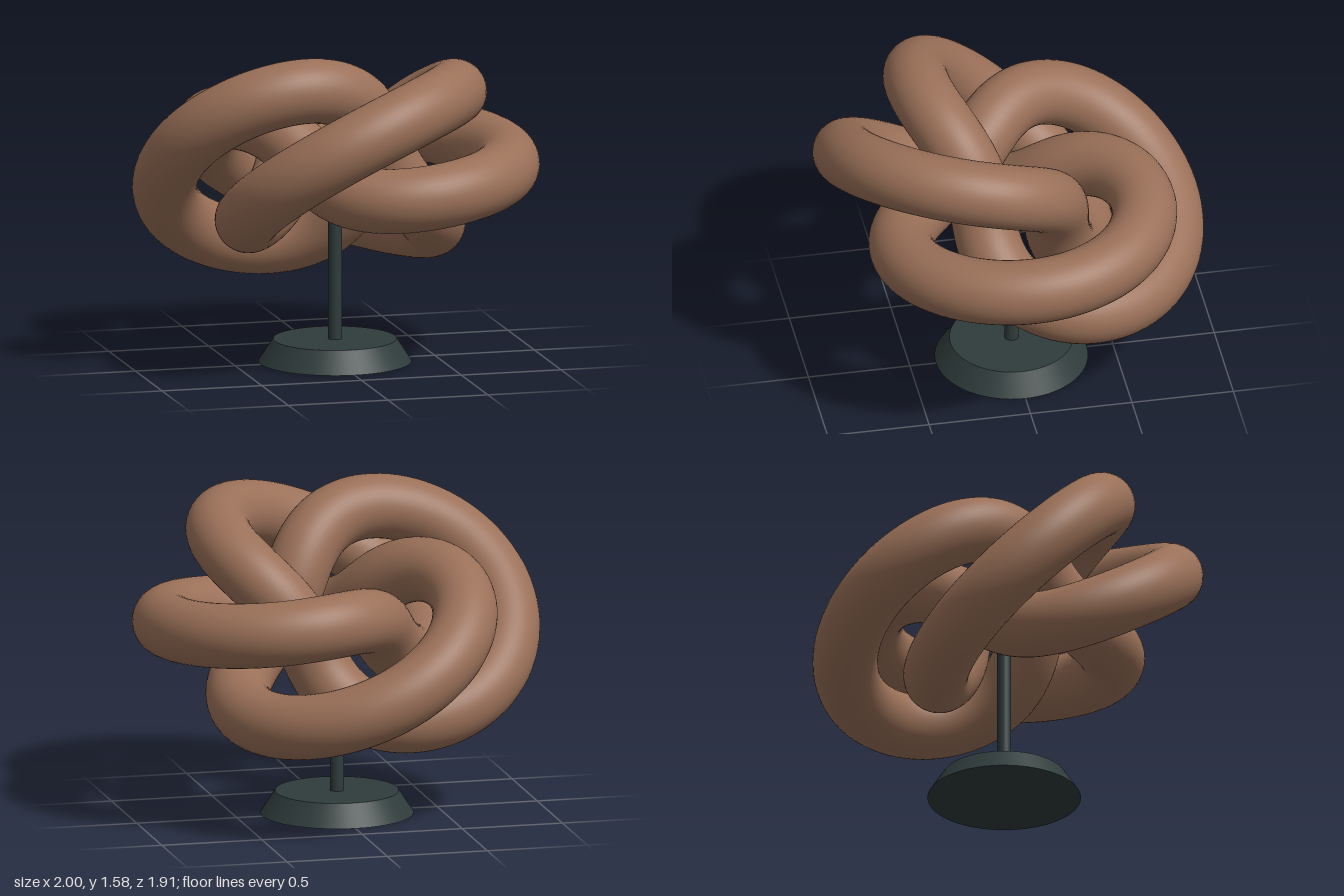
import * as THREE from 'three';

export function createModel() {
  const model = new THREE.Group();
  const clay = new THREE.MeshStandardMaterial({ color: 0x9a7058 });
  const slate = new THREE.MeshStandardMaterial({ color: 0x2f3b3b });

  const add = (name, geometry, material, y) => {
    const mesh = new THREE.Mesh(geometry, material);
    mesh.name = name;
    mesh.position.y = y;
    model.add(mesh);
    return mesh;
  };

  // Round foot with sloping sides
  const footHeight = 0.11;
  add('foot', new THREE.CylinderGeometry(0.3, 0.372, footHeight, 64), slate, footHeight / 2);

  // Thin post rising into the middle of the knot
  const postTop = 0.85;
  add('post', new THREE.CylinderGeometry(0.034, 0.034, postTop - footHeight, 32), slate,
    (postTop + footHeight) / 2);

  // Knot winding three times round the axis with four lobes, laid flat and tilted
  const tilt = 0.36;
  const knot = add('knot', new THREE.TorusKnotGeometry(0.5613, 0.158, 400, 40, 3, 4), clay, 0.973);
  knot.rotation.x = -Math.PI / 2 - tilt;

  return model;
}
